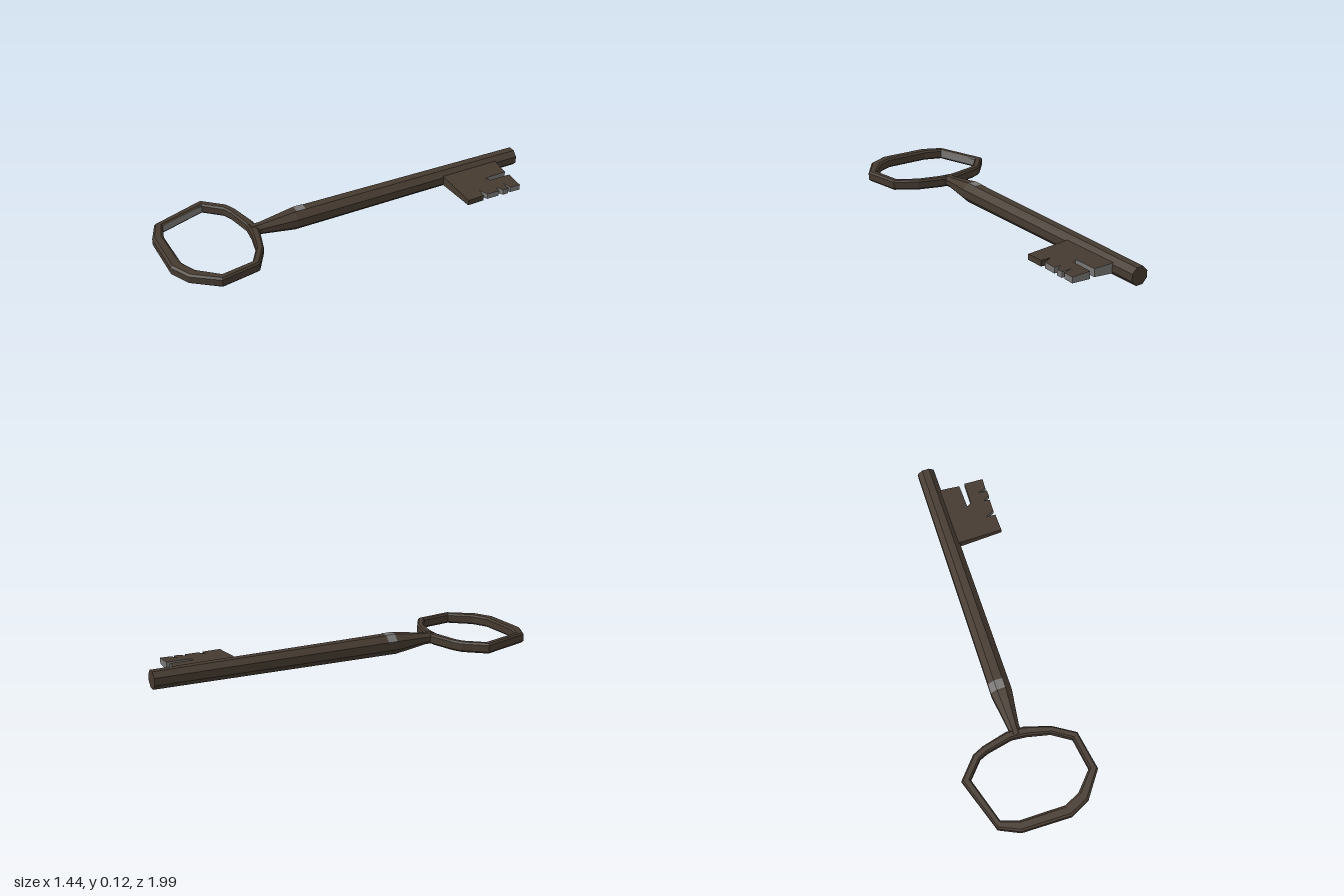
import * as THREE from 'three';

const iron = new THREE.MeshStandardMaterial({ color: 0x453a30 });
iron.name = 'dark iron';
const worn = new THREE.MeshStandardMaterial({ color: 0x777675 });
worn.name = 'worn grey';
for (const m of [iron, worn]) m.flatShading = true;

const TIP = [0.526, -0.978];
const ANGLE = -0.507; // heading of the shaft in the ground plane

// Eight-sided turned piece; profile is [radius, distance from the tip]
function turned(name, profile, material, segments = 8, start = Math.PI / 8, sweep = Math.PI * 2) {
  const pts = profile.map(([r, d]) => new THREE.Vector2(r, d));
  const geo = new THREE.LatheGeometry(pts, segments, start, sweep);
  geo.rotateX(Math.PI / 2).rotateY(ANGLE).translate(TIP[0], 0, TIP[1]);
  const mesh = new THREE.Mesh(geo, material);
  mesh.name = name;
  return mesh;
}

// Flat plate from an [x, z] outline, growing thicker towards the shaft
function plate(name, outline, sideMaterial) {
  const shape = new THREE.Shape(outline.map(([x, z]) => new THREE.Vector2(x, -z)));
  const geo = new THREE.ExtrudeGeometry(shape, { depth: 0.032, bevelEnabled: false });
  geo.rotateX(-Math.PI / 2).translate(0, -0.016, 0);
  const p = geo.attributes.position;
  for (let i = 0; i < p.count; i++) {
    const away = (p.getX(i) - TIP[0]) * 0.874 + (p.getZ(i) - TIP[1]) * 0.485;
    p.setY(i, p.getY(i) * (1 + 2.8 * Math.max(0, 0.3 - away)));
  }
  geo.computeVertexNormals();
  const mesh = new THREE.Mesh(geo, [iron, sideMaterial]);
  mesh.name = name;
  return mesh;
}

// Bow: bevelled section swept between an outer and an inner outline
function makeBow() {
  // outer x, z, inner x, z
  const rim = [
    [-0.665, 0.437, -0.627, 0.468], [-0.52, 0.384, -0.51, 0.426],
    [-0.452, 0.389, -0.458, 0.431], [-0.31, 0.426, -0.315, 0.474],
    [-0.225, 0.474, -0.246, 0.521], [-0.12, 0.58, -0.15, 0.606],
    [-0.05, 0.706, -0.093, 0.712], [-0.125, 0.918, -0.156, 0.881],
    [-0.283, 0.992, -0.294, 0.929], [-0.405, 0.987, -0.389, 0.923],
    [-0.648, 0.85, -0.611, 0.802], [-0.722, 0.749, -0.68, 0.728],
  ];
  // across the rim (0 outer, 1 inner) and height
  const section = [[0, -0.019], [0, 0.019], [0.2, 0.029], [0.8, 0.029],
    [1, 0.019], [1, -0.019], [0.8, -0.029], [0.2, -0.029]];
  const at = (i, k) => {
    const [ox, oz, ix, iz] = rim[i % rim.length];
    const [u, h] = section[k % section.length];
    return [ox + (ix - ox) * u, h, oz + (iz - oz) * u];
  };
  const faces = { iron: [], worn: [] };
  for (let i = 0; i < rim.length; i++) {
    for (let k = 0; k < section.length; k++) {
      const a = at(i, k), b = at(i + 1, k), c = at(i, k + 1), d = at(i + 1, k + 1);
      const target = i === rim.length - 1 && k === 4 ? faces.worn : faces.iron;
      target.push(...a, ...c, ...d, ...a, ...d, ...b);
    }
  }
  const bow = new THREE.Group();
  bow.name = 'bow';
  for (const [name, list, material] of [['bowRing', faces.iron, iron], ['bowWornFace', faces.worn, worn]]) {
    const geo = new THREE.BufferGeometry();
    geo.setAttribute('position', new THREE.Float32BufferAttribute(list, 3));
    geo.computeVertexNormals();
    const mesh = new THREE.Mesh(geo, material);
    mesh.name = name;
    bow.add(mesh);
  }
  return bow;
}

export function createModel() {
  const key = new THREE.Group();
  key.name = 'key';

  // Shaft with its tapering neck, and a worn patch near the neck
  key.add(turned('shaft', [[0, 0], [0.052, 0], [0.062, 1.416], [0.034, 1.61], [0.034, 1.665], [0, 1.665]], iron));
  key.add(turned('shaftWornPatch', [[0.0635, 1.35], [0.064, 1.405]], worn, 2, Math.PI * 7 / 8, Math.PI / 2));

  key.add(makeBow());

  // Bit: plain web at the shaft and two cut teeth
  const bit = new THREE.Group();
  bit.name = 'bit';
  bit.add(plate('bitWeb', [[0.29, -0.54], [0.553, -0.405], [0.6, -0.495], [0.553, -0.525],
    [0.527, -0.648], [0.36, -0.66]], iron));
  bit.add(plate('bitEndTooth', [[0.36, -0.66], [0.527, -0.648], [0.59, -0.77], [0.5, -0.828],
    [0.455, -0.85]], worn));
  bit.add(plate('bitOuterTooth', [[0.527, -0.648], [0.553, -0.525], [0.61, -0.52], [0.648, -0.585],
    [0.617, -0.606], [0.664, -0.606], [0.68, -0.637], [0.633, -0.664], [0.685, -0.653],
    [0.717, -0.706], [0.622, -0.76], [0.558, -0.648]], worn));
  key.add(bit);

  // The key leans slightly, bow end up
  key.rotation.x = -0.0137;
  key.position.y = 0.0665;

  const model = new THREE.Group();
  model.name = 'model';
  model.add(key);
  return model;
}
